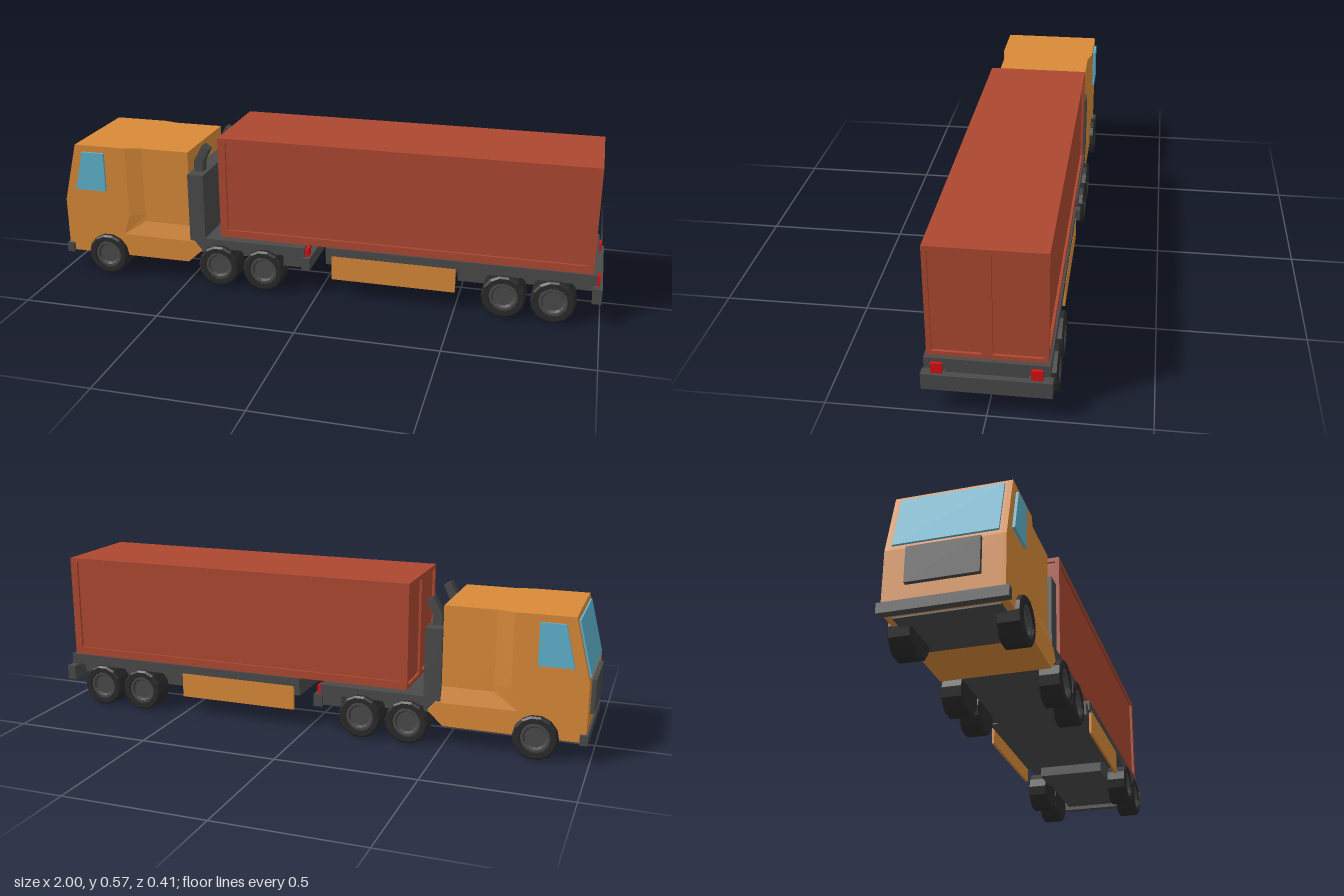
import * as THREE from 'three';

const mat = (name, color) => {
  const m = new THREE.MeshStandardMaterial({ color });
  m.name = name;
  return m;
};

export function createModel() {
  const orange = mat('cabOrange', 0xd98a38);
  const rust = mat('containerRust', 0xad4830);
  const dark = mat('chassisGrey', 0x4a4a4a);
  const rubber = mat('tyreBlack', 0x2a2a2a);
  const glass = mat('windowBlue', 0x5fb2ce);
  const red = mat('lampRed', 0xd81010);

  const truck = new THREE.Group();
  truck.name = 'containerTruck';

  const add = (name, geometry, material, parent = truck) => {
    const m = new THREE.Mesh(geometry, material);
    m.name = name;
    parent.add(m);
    return m;
  };
  // Box given by its limits along each axis
  const box = (name, material, [x0, x1], [y0, y1], [z0, z1], parent = truck) => {
    const m = add(name, new THREE.BoxGeometry(x1 - x0, y1 - y0, z1 - z0), material, parent);
    m.position.set((x0 + x1) / 2, (y0 + y1) / 2, (z0 + z1) / 2);
    return m;
  };
  const shapeOf = pts => new THREE.Shape(pts.map(p => new THREE.Vector2(...p)));
  const extrude = (shape, depth) => new THREE.ExtrudeGeometry(shape, { depth, bevelEnabled: false });
  const facet = g => {
    const f = g.index ? g.toNonIndexed() : g;
    f.computeVertexNormals();
    return f;
  };
  const rect = (x0, x1, y0, y1) => [[x0, y0], [x1, y0], [x1, y1], [x0, y1]];

  // Cab: narrow core with wider side panels that step in behind the door
  const cab = new THREE.Group();
  cab.name = 'cab';
  truck.add(cab);
  const core = extrude(shapeOf([[-0.5, 0.075], [-0.445, 0.125], [-0.49, 0.18], [-0.49, 0.5],
    [-0.93, 0.5], [-0.985, 0.28], [-0.985, 0.075]]), 0.348);
  core.translate(0, 0, -0.174);
  add('cabBody', core, orange, cab);

  const panel = extrude(shapeOf([[-0.985, 0.075], [-0.5, 0.075], [-0.445, 0.125], [-0.472, 0.158],
    [-0.755, 0.16], [-0.73, 0.235], [-0.73, 0.5], [-0.93, 0.5], [-0.985, 0.28]]), 0.014);
  // Inner outline spreads into the recess, which slopes the step
  const spread = [[-0.472, 0.158, -0.49, 0.215], [-0.755, 0.16, -0.67, 0.215],
    [-0.73, 0.235, -0.67, 0.24], [-0.73, 0.5, -0.67, 0.5]];
  const pos = panel.attributes.position;
  for (let i = 0; i < pos.count; i++) {
    if (pos.getZ(i) > 0.001) continue;
    for (const [x, y, nx, ny] of spread) {
      if (Math.hypot(pos.getX(i) - x, pos.getY(i) - y) < 0.001) { pos.setXY(i, nx, ny); break; }
    }
  }
  panel.translate(0, 0, 0.174);
  const panelGeo = facet(panel);
  const windowGeo = extrude(shapeOf([[-0.935, 0.328], [-0.815, 0.328], [-0.815, 0.475], [-0.9, 0.475]]), 0.009);
  for (const s of [1, -1]) {
    add('cabSidePanel', panelGeo, orange, cab).scale.z = s;
    const w = add('sideWindow', windowGeo, glass, cab);
    w.position.z = s > 0 ? 0.188 : -0.197;
  }
  const shield = add('windshield', new THREE.BoxGeometry(0.008, 0.195, 0.33), glass, cab);
  shield.position.set(-0.96, 0.39, 0);
  shield.rotation.z = -Math.atan2(0.055, 0.22);
  box('grille', dark, [-1, -0.98], [0.155, 0.275], [-0.115, 0.115], cab);
  box('frontBumper', dark, [-0.992, -0.965], [0.07, 0.105], [-0.2, 0.2], cab);
  box('cabUnderside', dark, [-0.95, -0.72], [0.07, 0.08], [-0.165, 0.165], cab);

  // Intake housing with two bent exhaust pipes
  box('rearHousing', dark, [-0.49, -0.43], [0.12, 0.42], [-0.187, 0.187]);
  const pipeShape = shapeOf([[-0.478, 0.41], [-0.445, 0.41], [-0.445, 0.455], [-0.42, 0.505],
    [-0.445, 0.52], [-0.478, 0.46]]);
  for (const z of [-0.125, 0.125]) {
    add('exhaustPipe', extrude(pipeShape, 0.04), dark).position.z = z - 0.02;
  }

  // Tractor chassis
  box('tractorDeck', dark, [-0.49, -0.05], [0.14, 0.175], [-0.187, 0.187]);
  box('tractorFrame', dark, [-0.49, -0.05], [0.095, 0.14], [-0.13, 0.13]);
  box('tractorTailBox', dark, [-0.13, -0.05], [0.1, 0.14], [-0.187, 0.187]);
  box('tractorBumper', dark, [-0.06, -0.028], [0.095, 0.14], [-0.198, 0.198]);
  const hitch = add('couplingPlate', new THREE.CylinderGeometry(0.08, 0.08, 0.018, 14), dark);
  hitch.position.set(-0.2, 0.182, 0);

  // Trailer chassis
  box('trailerDeck', dark, [0.03, 0.98], [0.15, 0.188], [-0.19, 0.19]);
  box('trailerFrontFrame', dark, [0.03, 0.5], [0.122, 0.152], [-0.183, 0.183]);
  box('trailerRearFrame', dark, [0.5, 0.62], [0.085, 0.152], [-0.125, 0.125]);
  box('trailerAxleFrame', dark, [0.62, 0.98], [0.1, 0.152], [-0.125, 0.125]);
  box('trailerBumper', dark, [0.968, 1], [0.085, 0.14], [-0.198, 0.198]);
  for (const s of [1, -1]) {
    const span = (a, b) => (s > 0 ? [a, b] : [-b, -a]);
    box('sideSkirt', orange, [0.052, 0.5], [0.068, 0.158], span(0.182, 0.191));
    box('trailerLamp', red, [0.975, 0.99], [0.14, 0.175], span(0.133, 0.168));
    box('tractorLamp', red, [-0.055, -0.037], [0.14, 0.17], span(0.145, 0.18));
  }

  // Container: core box with raised frames around inset panels
  const container = new THREE.Group();
  container.name = 'container';
  truck.add(container);
  const X = [-0.37, 0.966], Y = [0.188, 0.566], Z = 0.183, inset = 0.009;
  box('containerCore', rust, [X[0] + inset, X[1] - inset], Y, [-Z + inset, Z - inset], container);
  const frame = (w, holes) => {
    const s = shapeOf(rect(-w, w, ...Y));
    for (const h of holes) s.holes.push(new THREE.Path(rect(...h).map(p => new THREE.Vector2(...p))));
    return extrude(s, inset);
  };
  const half = (X[1] - X[0]) / 2, mid = (X[0] + X[1]) / 2;
  const sideFrame = frame(half, [[-half + 0.028, half - 0.028, 0.216, 0.55]]);
  const endFrame = frame(Z, [[-0.168, -0.017, 0.203, 0.55], [0.017, 0.168, 0.203, 0.55]]);
  for (const s of [1, -1]) {
    const side = add('containerSideFrame', sideFrame, rust, container);
    side.position.set(mid, 0, s * (Z - inset));
    side.rotation.y = s > 0 ? 0 : Math.PI;
    const end = add('containerDoorFrame', endFrame, rust, container);
    end.position.set(mid + s * (half - inset), 0, 0);
    end.rotation.y = s * Math.PI / 2;
  }

  // Wheels: 14-sided tyres with dished hubs
  const lathe = pts => facet(new THREE.LatheGeometry(pts.map(p => new THREE.Vector2(...p)), 14, Math.PI / 14)
    .rotateX(Math.PI / 2));
  const tyreGeo = lathe([[0, -0.04], [0.07, -0.04], [0.078, -0.034], [0.078, 0.034], [0.071, 0.04],
    [0.053, 0.04], [0.05, 0.028]]);
  const hubGeo = lathe([[0.051, 0.026], [0.05, 0.036], [0.042, 0.036], [0.036, 0.026], [0, 0.026]]);
  for (const x of [-0.82, -0.375, -0.203, 0.67, 0.84]) {
    for (const s of [1, -1]) {
      const wheel = new THREE.Group();
      wheel.name = 'wheel';
      add('tyre', tyreGeo, rubber, wheel);
      add('hub', hubGeo, dark, wheel);
      wheel.position.set(x, 0.077, s * 0.167);
      wheel.rotation.y = s > 0 ? 0 : Math.PI;
      truck.add(wheel);
    }
  }
  return truck;
}
